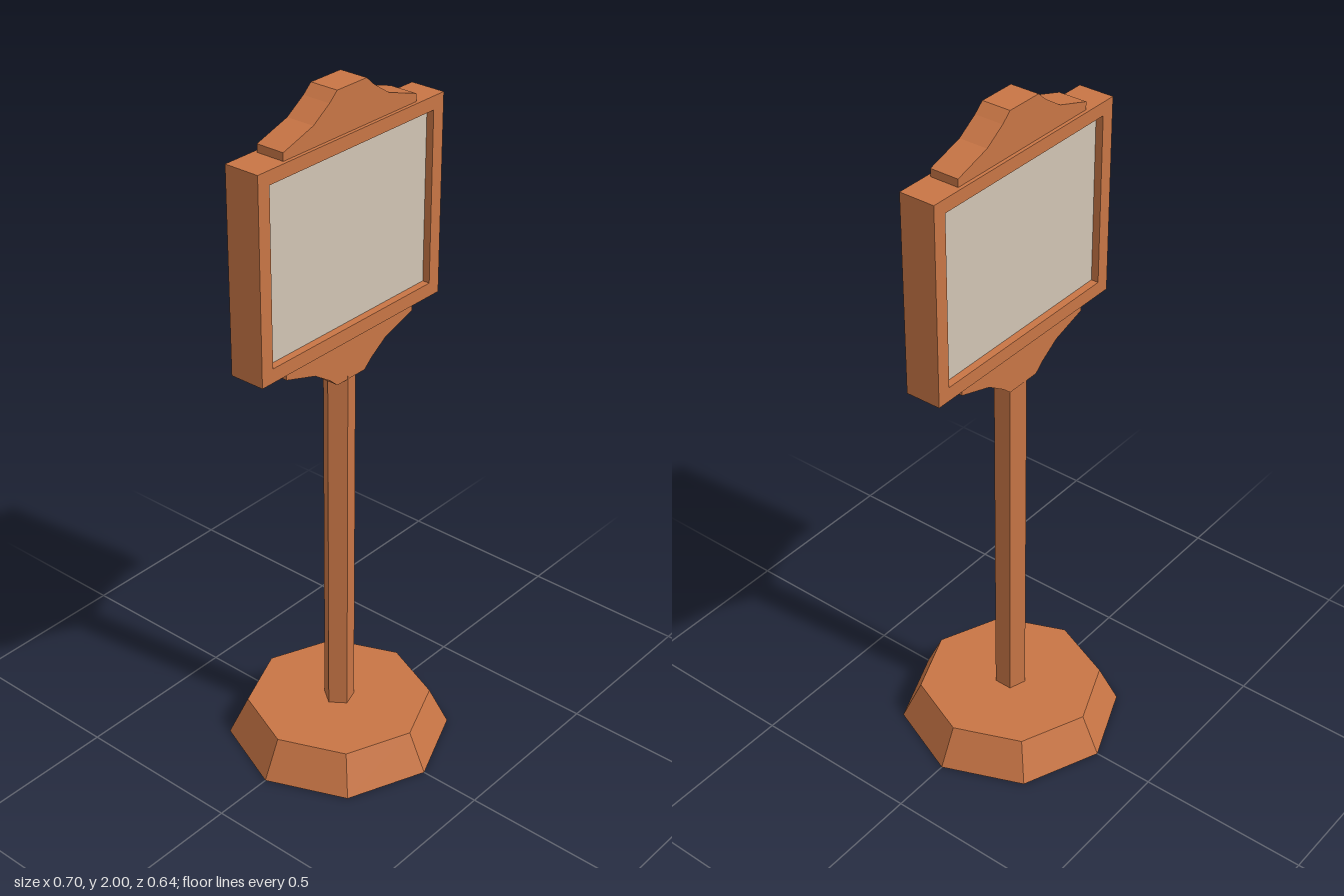
import * as THREE from 'three';

export function createModel() {
  const model = new THREE.Group();
  model.name = 'signPost';
  const wood = new THREE.MeshStandardMaterial({ color: 0xc87545, flatShading: true, side: THREE.DoubleSide });
  wood.name = 'brown wood';
  const board = new THREE.MeshStandardMaterial({ color: 0xd1c4b4, flatShading: true });
  board.name = 'pale board';

  const add = (name, geometry, material, y = 0) => {
    const mesh = new THREE.Mesh(geometry, material);
    mesh.name = name;
    mesh.position.y = y;
    model.add(mesh);
    return mesh;
  };
  const polygon = (r, sides, start = 0) => Array.from({ length: sides }, (_, i) => {
    const a = start + (i / sides) * Math.PI * 2;
    return new THREE.Vector2(r * Math.cos(a), r * Math.sin(a));
  });
  const slab = (shape, depth) =>
    new THREE.ExtrudeGeometry(shape, { depth, bevelEnabled: false }).translate(0, 0, -depth / 2);

  // Octagonal foot, with a shallow socket under the pole
  const footHeight = 0.115, socketDepth = 0.02, poleRadius = 0.045;
  add('footSides', new THREE.CylinderGeometry(0.265, 0.32, footHeight, 8, 1, true), wood, footHeight / 2);
  add('footTop', new THREE.CircleGeometry(0.265, 8).rotateX(-Math.PI / 2), wood, footHeight);
  const under = new THREE.Shape(polygon(0.32, 8));
  under.holes.push(new THREE.Path(polygon(poleRadius, 5, Math.PI)));
  add('footUnderside', new THREE.ShapeGeometry(under).rotateX(Math.PI / 2), wood);

  // Five-sided pole, one edge pointing to -x
  const prism = (height, open) =>
    new THREE.CylinderGeometry(poleRadius, poleRadius, height, 5, 1, open, -Math.PI / 2);
  add('socket', prism(socketDepth, true), wood, socketDepth / 2);
  const poleTop = 1.2;
  add('pole', prism(poleTop - socketDepth, false), wood, (poleTop + socketDepth) / 2);

  // Rectangular frame with an opening
  const rect = (Type, x, y0, y1) => new Type([[-x, y0], [x, y0], [x, y1], [-x, y1]]
    .map(([px, py]) => new THREE.Vector2(px, py)));
  const frame = rect(THREE.Shape, 0.35, 1.31, 1.88);
  frame.holes.push(rect(THREE.Path, 0.31, 1.35, 1.842));
  add('frame', slab(frame, 0.104), wood);

  // Board recessed on both faces
  add('board', new THREE.BoxGeometry(0.62, 0.492, 0.06), board, 1.596);

  // Curved crest above the frame and its mirror image below
  const half = [[0.25, 0], [0.25, 0.022], [0.142, 0.056], [0.083, 0.095], [0.055, 0.12]];
  const bracket = (name, y, dir) => {
    const right = half.map(([x, h]) => new THREE.Vector2(x, h * dir));
    const left = half.map(([x, h]) => new THREE.Vector2(-x, h * dir)).reverse();
    add(name, slab(new THREE.Shape([...right, ...left]), 0.084), wood, y);
  };
  bracket('crest', 1.88, 1);
  bracket('lowerBracket', 1.31, -1);

  return model;
}
